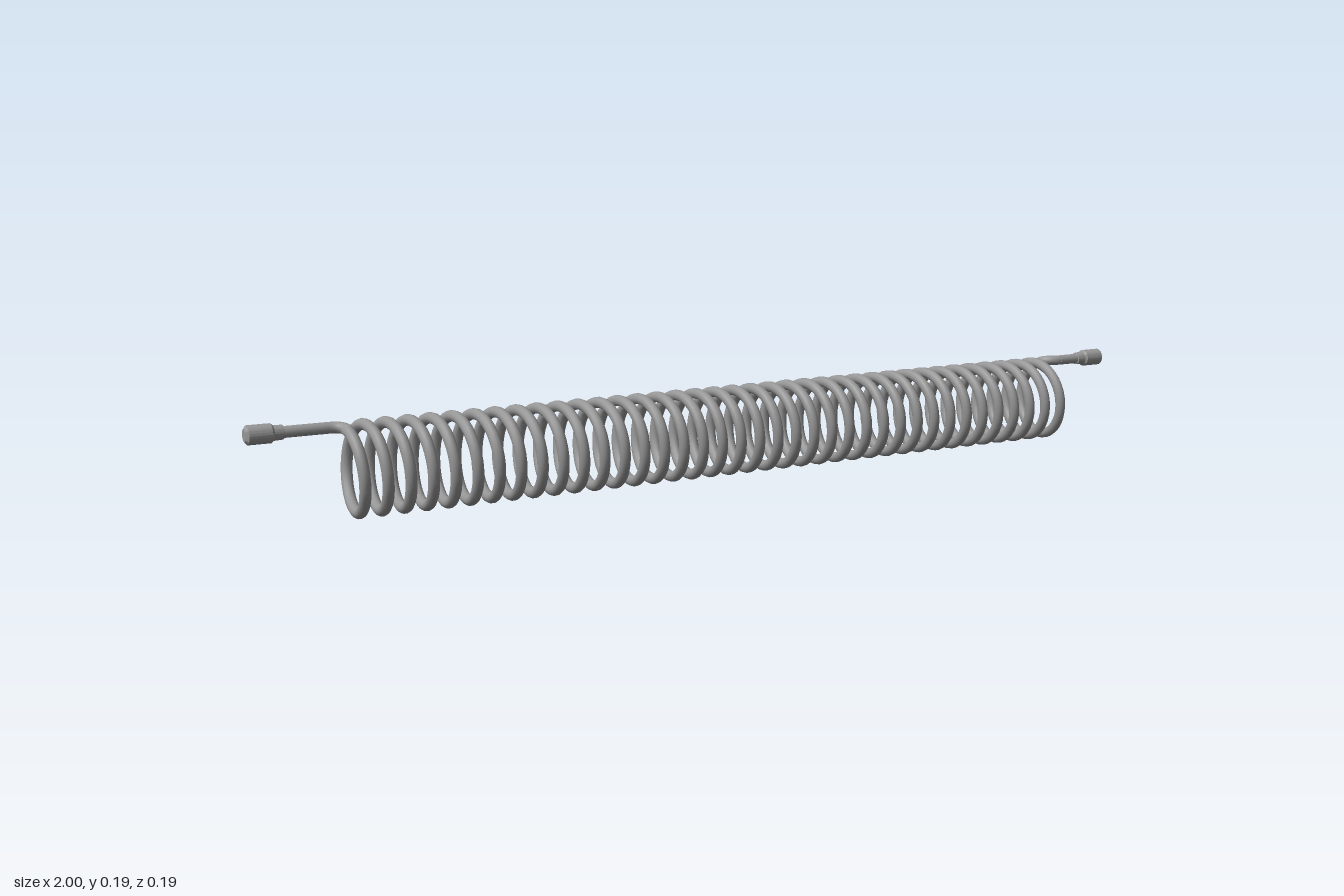
import * as THREE from 'three';
import { toCreasedNormals } from 'three/addons/utils/BufferGeometryUtils.js';

const TURNS = 38, WIRE = 0.011, RADIUS = 0.082;
const TOP = 2 * RADIUS + WIRE;            // height of the straight leads
const START = -0.819, END = 0.851;        // ends of the coil along x
const PITCH = (END - START) / TURNS;
const BEND = 0.3;                         // coil angle taken up by each end bend

// Coil point at angle a, starting at the top and turning to the front
const coilPoint = (a, x0) => new THREE.Vector3(
  x0 + PITCH * a / (2 * Math.PI),
  WIRE + RADIUS + RADIUS * Math.cos(a),
  RADIUS * Math.sin(a));

class Coil extends THREE.Curve {
  getPoint(t, target = new THREE.Vector3()) {
    return target.copy(coilPoint(BEND + t * (TURNS * 2 * Math.PI - 2 * BEND), START));
  }
  getPointAt(t, target) { return this.getPoint(t, target); }
  getTangentAt(t, target) { return this.getTangent(t, target); }
}

export function createModel() {
  const model = new THREE.Group();
  const material = new THREE.MeshStandardMaterial({ color: 0x969696 });
  const add = (parent, geometry, name) => {
    const mesh = new THREE.Mesh(geometry, material);
    mesh.name = name;
    parent.add(mesh);
    return mesh;
  };

  add(model, new THREE.TubeGeometry(new Coil(), TURNS * 36, WIRE, 12), 'coil');

  // One end: straight lead, bend into the coil, and a stepped round fitting
  const makeEnd = (name, startX) => {
    const end = new THREE.Group();
    end.name = name;

    const bendEnd = coilPoint(BEND, startX);
    const dir = coilPoint(BEND + 0.01, startX).sub(bendEnd).normalize();
    const bendStart = new THREE.Vector3(startX - 0.028, TOP, 0);
    const bend = new THREE.CubicBezierCurve3(
      bendStart,
      bendStart.clone().add(new THREE.Vector3(0.017, 0, 0)),
      bendEnd.clone().addScaledVector(dir, -0.015),
      bendEnd);
    add(end, new THREE.TubeGeometry(bend, 12, WIRE, 12), 'bend');

    const line = new THREE.LineCurve3(new THREE.Vector3(-0.96, TOP, 0), bendStart);
    add(end, new THREE.TubeGeometry(line, 1, WIRE, 16), 'lead');

    // Profile runs from the outer face inward
    const profile = [[0, 0], [0.012, 0], [0.0182, 0.005], [0.0182, 0.048],
      [0.0145, 0.052], [0.0135, 0.07], [0.011, 0.071]]
      .map(([r, d]) => new THREE.Vector2(r, d));
    const fitting = add(end, toCreasedNormals(new THREE.LatheGeometry(profile, 24), 0.5), 'fitting');
    fitting.rotation.z = -Math.PI / 2;
    fitting.position.set(-1, TOP, 0);

    model.add(end);
    return end;
  };

  makeEnd('rightEnd', START);
  makeEnd('leftEnd', -END).rotation.y = Math.PI;
  return model;
}
